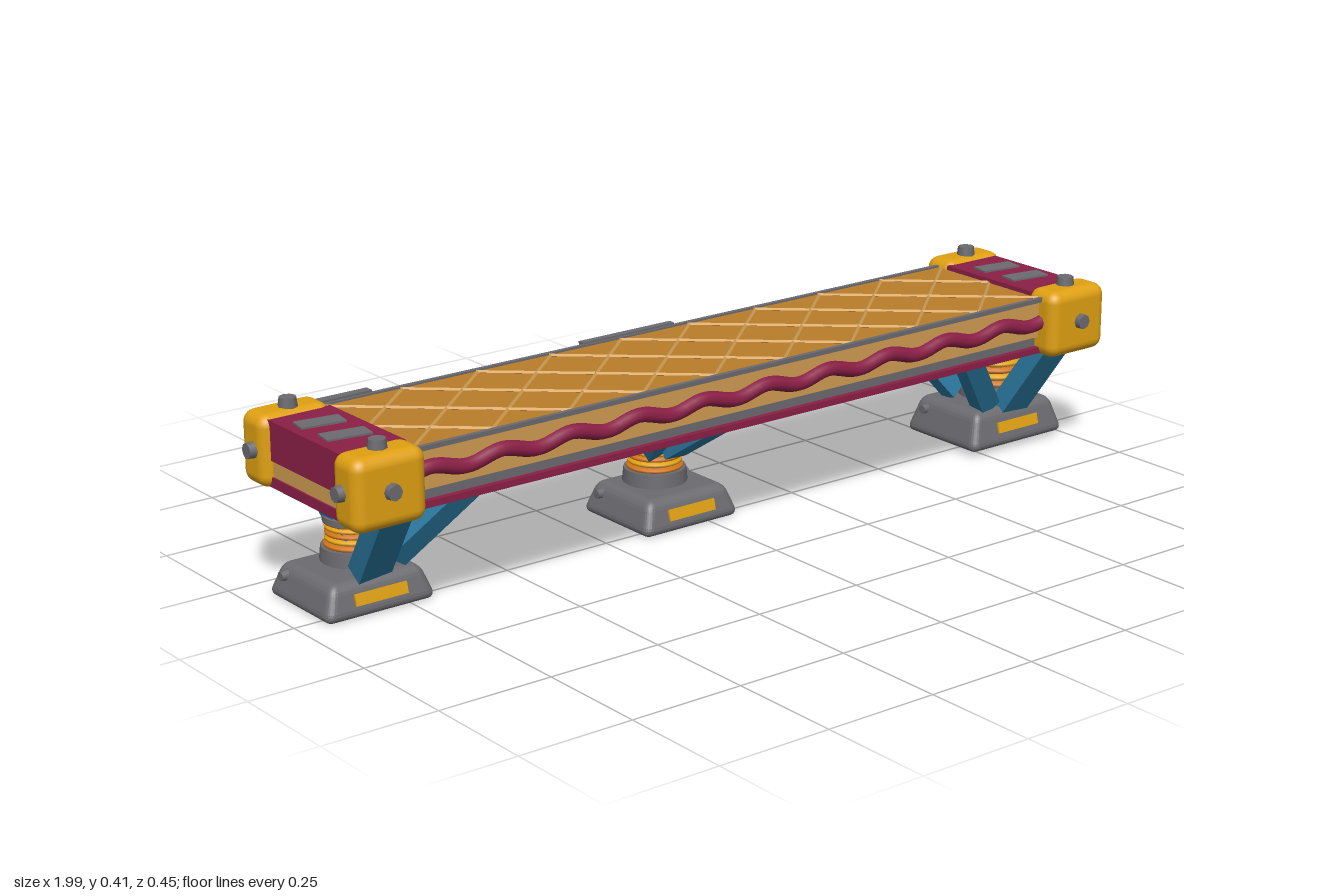
import * as THREE from 'three';
import { RoundedBoxGeometry } from 'three/addons/geometries/RoundedBoxGeometry.js';

const mat = (name, color) => {
  const m = new THREE.MeshStandardMaterial({ color });
  m.name = name;
  return m;
};

export function createModel() {
  const root = new THREE.Group();
  root.name = 'bench';
  const amber = mat('amber quilt', 0xb87d2a);
  const tan = mat('tan trim', 0xcf9c52);
  const maroon = mat('maroon', 0x8c1f47);
  const yellow = mat('yellow', 0xdfa012);
  const grey = mat('grey metal', 0x6b6b70);
  const blue = mat('blue strut', 0x2b78a0);
  const orange = mat('orange bellows', 0xd0741a);

  const add = (name, geo, m, x = 0, y = 0, z = 0, parent = root) => {
    const mesh = new THREE.Mesh(geo, m);
    mesh.name = name;
    mesh.position.set(x, y, z);
    parent.add(mesh);
    return mesh;
  };
  const box = (name, m, x0, x1, y0, y1, z0, z1, parent = root) =>
    add(name, new THREE.BoxGeometry(x1 - x0, y1 - y0, z1 - z0), m,
      (x0 + x1) / 2, (y0 + y1) / 2, (z0 + z1) / 2, parent);
  const UP = new THREE.Vector3(0, 1, 0);
  // bar of w by d section running between two points
  const beam = (name, m, a, b, w, d) => {
    const p = new THREE.Vector3(...a), q = new THREE.Vector3(...b);
    const mid = p.clone().add(q).multiplyScalar(0.5);
    const mesh = add(name, new THREE.BoxGeometry(w, p.distanceTo(q), d), m, mid.x, mid.y, mid.z);
    mesh.quaternion.setFromUnitVectors(UP, q.sub(p).normalize());
    return mesh;
  };
  const bolt = (x, y, z, axis, r = 0.018, parent = root) => {
    const mesh = add('bolt', new THREE.CylinderGeometry(r * 0.85, r, 0.024, 8), grey, x, y, z, parent);
    mesh.quaternion.setFromUnitVectors(UP, new THREE.Vector3(...axis));
  };

  // seat slab in layers
  box('seatCushion', tan, -0.83, 0.83, 0.285, 0.366, -0.165, 0.165);
  box('quiltTop', amber, -0.83, 0.83, 0.366, 0.372, -0.163, 0.163);
  box('seatFrame', grey, -0.83, 0.83, 0.262, 0.285, -0.155, 0.155);
  box('bottomPlate', maroon, -0.9, 0.9, 0.248, 0.262, -0.168, 0.168);

  // diagonal seams across the quilt, trimmed at the ends
  const H = 0.16, run = 1.15, X = 0.82;
  for (const s of [-1, 1]) {
    for (let c = -1; c <= 1.001; c += 0.182) {
      let zs = [-H, H];
      const cut = [(-X - c) / (s * run), (X - c) / (s * run)].sort((a, b) => a - b);
      zs = [Math.max(zs[0], cut[0]), Math.min(zs[1], cut[1])];
      if (zs[1] - zs[0] < 0.03) continue;
      beam('quiltSeam', tan, [c + s * run * zs[0], 0.372, zs[0]],
        [c + s * run * zs[1], 0.372, zs[1]], 0.006, 0.006);
    }
  }

  // side rails and wavy piping
  for (const s of [-1, 1]) {
    box('edgeRail', grey, -0.83, 0.83, 0.366, 0.376, s * 0.168 - 0.005, s * 0.168 + 0.005);
    const pts = [];
    for (let i = 0; i <= 90; i++) {
      const x = -0.83 + (1.66 * i) / 90;
      pts.push(new THREE.Vector3(x, 0.322 + 0.008 * Math.sin(x * 38), s * 0.166));
    }
    add('wavyPiping', new THREE.TubeGeometry(new THREE.CatmullRomCurve3(pts), 150, 0.016, 8), maroon);
  }
  // clips along the back edge
  box('backClip', grey, -0.82, -0.7, 0.355, 0.381, -0.188, -0.168);
  box('backClip', grey, -0.18, 0.06, 0.36, 0.38, -0.184, -0.168);

  // end caps with corner blocks
  for (const s of [-1, 1]) {
    const end = new THREE.Group();
    end.name = s > 0 ? 'leftEnd' : 'rightEnd';
    root.add(end);
    const span = (a, b) => (s > 0 ? [a, b] : [-b, -a]);
    box('endCap', maroon, ...span(0.818, 0.962), 0.3, 0.382, -0.135, 0.135, end);
    box('endTrim', tan, ...span(0.818, 0.958), 0.266, 0.3, -0.135, 0.135, end);
    box('endSill', maroon, ...span(0.818, 0.962), 0.245, 0.266, -0.135, 0.135, end);
    for (const z of [-0.052, 0.04]) {
      const patch = box('wornPatch', grey, ...span(0.845, 0.94), 0.381, 0.386, z - 0.022, z + 0.022, end);
      patch.rotation.y = -0.15;
    }
    for (const t of [-1, 1]) {
      add('cornerBlock', new RoundedBoxGeometry(0.165, 0.15, 0.088, 3, 0.026), yellow,
        s * 0.898, 0.315, t * 0.166, end);
      bolt(s * 0.898, 0.397, t * 0.16, [0, 1, 0], 0.021, end);
      bolt(s * 0.9, 0.317, t * 0.211, [0, 0, t], 0.019, end);
      bolt(s * 0.983, 0.317, t * 0.16, [s, 0, 0], 0.019, end);
    }
  }

  // ribbed bellows, split into alternating colours
  const bellows = (r, h, x, y, z, parent) => {
    const n = 5, step = h / n;
    for (let i = 0; i < n; i++) {
      const k = i === 0 || i === n - 1 ? 1.05 : 1;
      const profile = [[0.82, 0], [1, 0.3], [1, 0.7], [0.82, 1]].map(
        ([a, b]) => new THREE.Vector2(r * a * k, b * step));
      add('bellowsRing', new THREE.LatheGeometry(profile, 20), i % 2 ? yellow : orange, x, y + i * step, z, parent);
    }
    add('bellowsCap', new THREE.CylinderGeometry(r * 1.07, r * 1.07, 0.012, 20), grey, x, y + h, z, parent);
  };

  // tapered foot with plinth, bellows and post
  const foot = (name, o) => {
    const g = new THREE.Group();
    g.name = name;
    root.add(g);
    const geo = new RoundedBoxGeometry(o.w, o.h, 0.235, 3, 0.02);
    const p = geo.attributes.position;
    for (let i = 0; i < p.count; i++) {
      const k = 1 - 0.2 * (p.getY(i) / o.h + 0.5);
      p.setX(i, p.getX(i) * k);
      p.setZ(i, p.getZ(i) * k);
    }
    geo.computeVertexNormals();
    add('footBase', geo, grey, o.x, o.y + o.h / 2, o.z, g);
    const top = o.y + o.h;
    add('plinth', new THREE.CylinderGeometry(o.r * 1.15, o.r * 1.22, 0.04, 20), grey, o.sx, top + 0.01, o.sz, g);
    bellows(o.r, o.bh, o.sx, top + 0.028, o.sz, g);
    const y0 = top + 0.028 + o.bh;
    add('post', new THREE.CylinderGeometry(0.042, 0.042, 0.255 - y0, 16), grey, o.sx, (y0 + 0.255) / 2, o.sz, g);
    // painted plates front and back, bolts on the sides
    for (const t of [-1, 1]) {
      const plate = add('footPlate', new THREE.BoxGeometry(0.12, 0.024, 0.008), yellow,
        o.x, o.y + o.h * 0.52, o.z + t * 0.106, g);
      plate.rotation.x = -t * 0.26;
      bolt(o.x + t * o.w * 0.43, o.y + o.h * 0.7, o.z - 0.065, [t, 0, 0], 0.012, g);
    }
  };
  foot('leftFoot', { x: 0.85, y: 0.01, z: -0.032, w: 0.285, h: 0.085, r: 0.068, bh: 0.078, sx: 0.88, sz: -0.036 });
  foot('middleFoot', { x: -0.05, y: 0, z: -0.075, w: 0.255, h: 0.072, r: 0.058, bh: 0.06, sx: -0.05, sz: -0.095 });
  foot('rightFoot', { x: -0.82, y: 0, z: -0.075, w: 0.26, h: 0.072, r: 0.058, bh: 0.06, sx: -0.8, sz: -0.095 });

  // struts at the two ends
  for (const s of [-1, 1]) {
    const cx = s > 0 ? 0.86 : 0.84;
    const zf = s > 0 ? 0.03 : 0.0;
    beam('cornerStrut', blue, [s * (cx - 0.01), 0.085, zf + 0.01], [s * (cx + 0.02), 0.262, 0.15], 0.075, 0.045);
    beam('innerStrut', blue, [s * (cx - 0.07), 0.1, zf], [s * 0.65, 0.262, 0.11], 0.05, 0.045);
    beam('backCornerStrut', blue, [s * (cx - 0.03), 0.12, -0.08], [s * (cx + 0.02), 0.262, -0.145], 0.055, 0.04);
    beam('backInnerStrut', blue, [s * (cx - 0.07), 0.11, -0.07], [s * 0.67, 0.262, -0.12], 0.05, 0.04);
  }
  // fan of struts over the middle foot
  for (const [x, z] of [[-0.13, 0.06], [0.06, 0.06], [-0.04, 0.13], [-0.13, -0.13], [0.05, -0.13]]) {
    beam('middleStrut', blue, [-0.05 + (x + 0.04) * 0.3, 0.155, -0.08 + z * 0.35], [x, 0.262, z], 0.055, 0.04);
  }
  return root;
}
